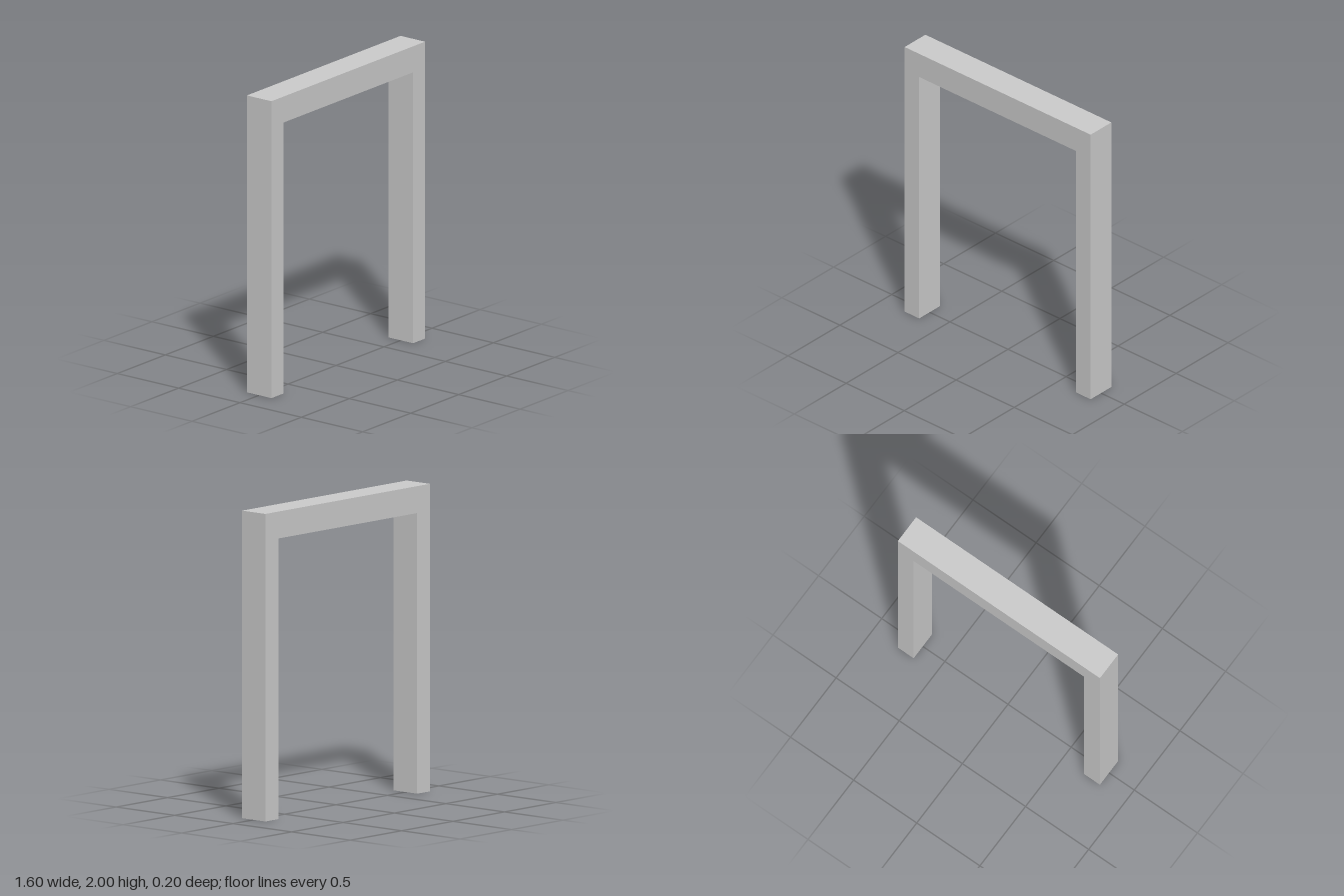
import * as THREE from 'three';

const HALF_WIDTH = 0.8, HALF_OPENING = 0.675, HEIGHT = 2, BEAM_BOTTOM = 1.825, DEPTH = 0.2;

// Drops the triangles that lie flat on the ground, leaving the leg ends open.
function openBottom(geometry) {
  const source = geometry.toNonIndexed().getAttribute('position');
  const kept = [];
  for (let i = 0; i < source.count; i += 3) {
    const corners = [i, i + 1, i + 2];
    if (corners.every((c) => Math.abs(source.getY(c)) < 1e-6)) continue;
    for (const c of corners) kept.push(source.getX(c), source.getY(c), source.getZ(c));
  }
  const result = new THREE.BufferGeometry();
  result.setAttribute('position', new THREE.Float32BufferAttribute(kept, 3));
  result.computeVertexNormals();
  return result;
}

export function createModel() {
  const group = new THREE.Group();
  group.name = 'doorFrame';

  // Two posts and the lintel as one continuous outline
  const outline = new THREE.Shape([
    [-HALF_WIDTH, 0], [-HALF_OPENING, 0],
    [-HALF_OPENING, BEAM_BOTTOM], [HALF_OPENING, BEAM_BOTTOM],
    [HALF_OPENING, 0], [HALF_WIDTH, 0],
    [HALF_WIDTH, HEIGHT], [-HALF_WIDTH, HEIGHT],
  ].map(([x, y]) => new THREE.Vector2(x, y)));

  const solid = new THREE.ExtrudeGeometry(outline, { depth: DEPTH, bevelEnabled: false });
  solid.translate(0, 0, -DEPTH / 2);

  // Hollow shell, visible from inside through the open post ends
  const material = new THREE.MeshStandardMaterial({
    color: 0xcccccc, flatShading: true, side: THREE.DoubleSide,
  });
  const frame = new THREE.Mesh(openBottom(solid), material);
  frame.name = 'postsAndLintel';
  group.add(frame);

  return group;
}
